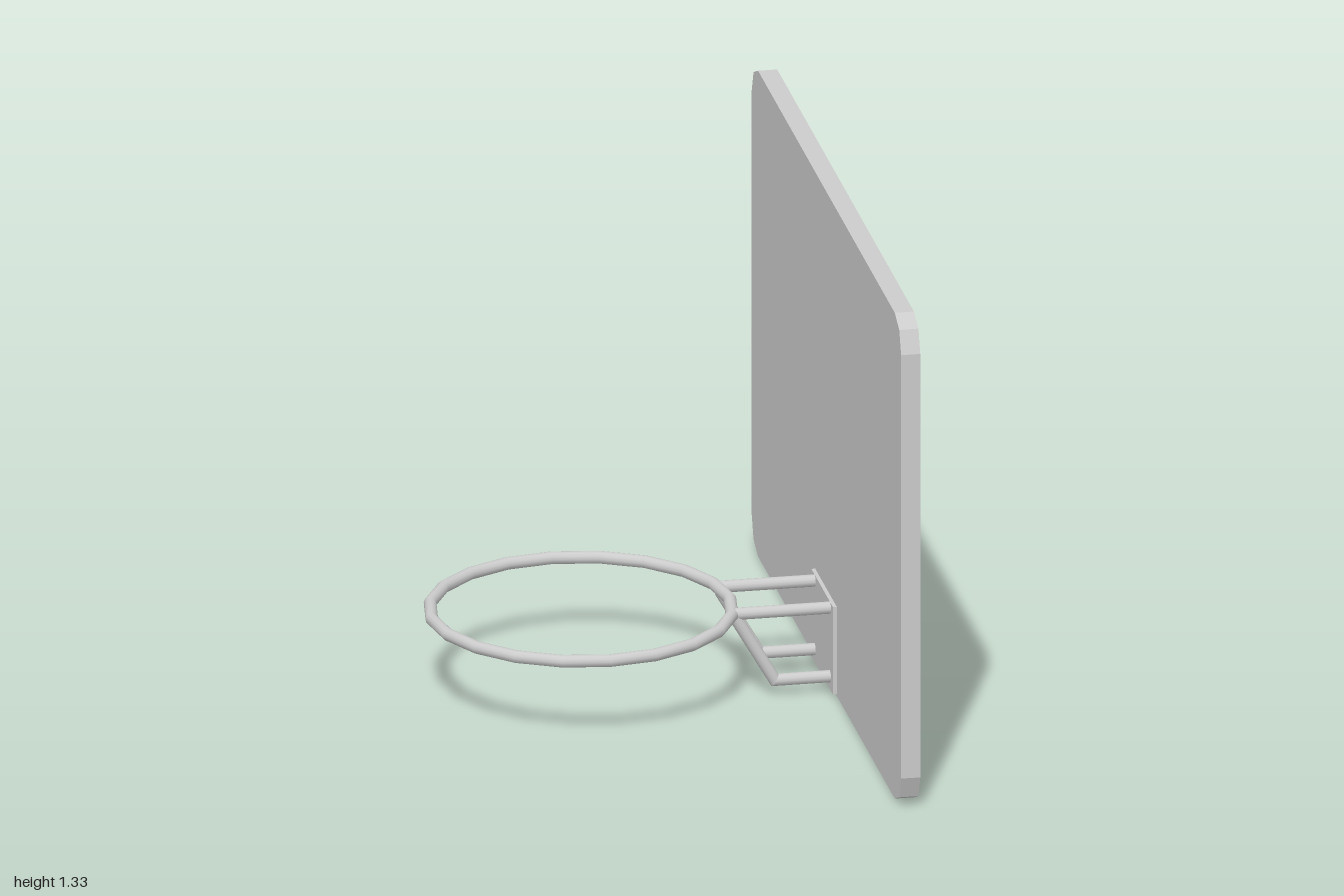
import * as THREE from 'three';

const grey = new THREE.MeshStandardMaterial({ color: 0xcccccc });
const V = (x, y, z) => new THREE.Vector3(x, y, z);

function add(parent, name, geometry) {
  const mesh = new THREE.Mesh(geometry, grey);
  mesh.name = name;
  parent.add(mesh);
  return mesh;
}

// Round rod from a to b; each end is cut along the plane with the given normal
function rod(a, b, normalA, normalB, radius = 0.016) {
  const dir = b.clone().sub(a);
  const length = dir.length();
  dir.normalize();
  const geo = new THREE.CylinderGeometry(radius, radius, length, 12);
  geo.applyQuaternion(new THREE.Quaternion().setFromUnitVectors(V(0, 1, 0), dir));
  const mid = a.clone().add(b).multiplyScalar(0.5);
  geo.translate(mid.x, mid.y, mid.z);
  const pos = geo.attributes.position;
  const p = V(0, 0, 0);
  for (let i = 0; i < pos.count; i++) {
    p.fromBufferAttribute(pos, i);
    const atB = p.clone().sub(mid).dot(dir) > 0;
    const end = atB ? b : a;
    const n = (atB ? normalB : normalA) ?? dir;
    p.addScaledVector(dir, -p.clone().sub(end).dot(n) / dir.dot(n));
    pos.setXYZ(i, p.x, p.y, p.z);
  }
  return geo;
}

export function createModel() {
  const model = new THREE.Group();
  model.name = 'basketballHoop';

  // Backboard: rectangle with two-step rounded corners
  const W = 1, H = 0.6625;
  const corner = [[W, H - 0.085], [W - 0.025, H - 0.025], [W - 0.085, H]];
  const outline = [[1, 1], [-1, 1], [-1, -1], [1, -1]].flatMap(([sx, sy]) => {
    const pts = corner.map(([x, y]) => new THREE.Vector2(x * sx, y * sy));
    return sx * sy > 0 ? pts : pts.reverse();
  });
  const board = new THREE.ExtrudeGeometry(new THREE.Shape(outline), { depth: 0.05, bevelEnabled: false });
  board.rotateY(Math.PI / 2);
  board.translate(0.495, H, 0);
  add(model, 'backboard', board);

  // Mounting plate on the board
  const plate = add(model, 'mountingPlate', new THREE.BoxGeometry(0.012, 0.238, 0.29));
  plate.position.set(0.491, 0.124, -0.005);

  // Rim: twenty-sided ring
  const rim = new THREE.TorusGeometry(0.389, 0.0165, 12, 20);
  rim.rotateX(Math.PI / 2);
  rim.translate(-0.143, 0.227, -0.012);
  add(model, 'rim', rim);

  // Pair of brackets: straight upper arm, bent lower brace with a mitred joint
  const brackets = new THREE.Group();
  brackets.name = 'brackets';
  model.add(brackets);
  for (const z of [-0.107, 0.098]) {
    const wall = V(0.492, 0.04, z), bend = V(0.341, 0.04, z), tip = V(0.238, 0.217, z);
    const mitre = bend.clone().sub(wall).normalize().add(tip.clone().sub(bend).normalize());
    add(brackets, 'upperArm', rod(V(0.237, 0.227, z), V(0.492, 0.227, z)));
    add(brackets, 'lowerArm', rod(wall, bend, null, mitre));
    add(brackets, 'diagonalBrace', rod(bend, tip, mitre, null));
  }
  return model;
}
